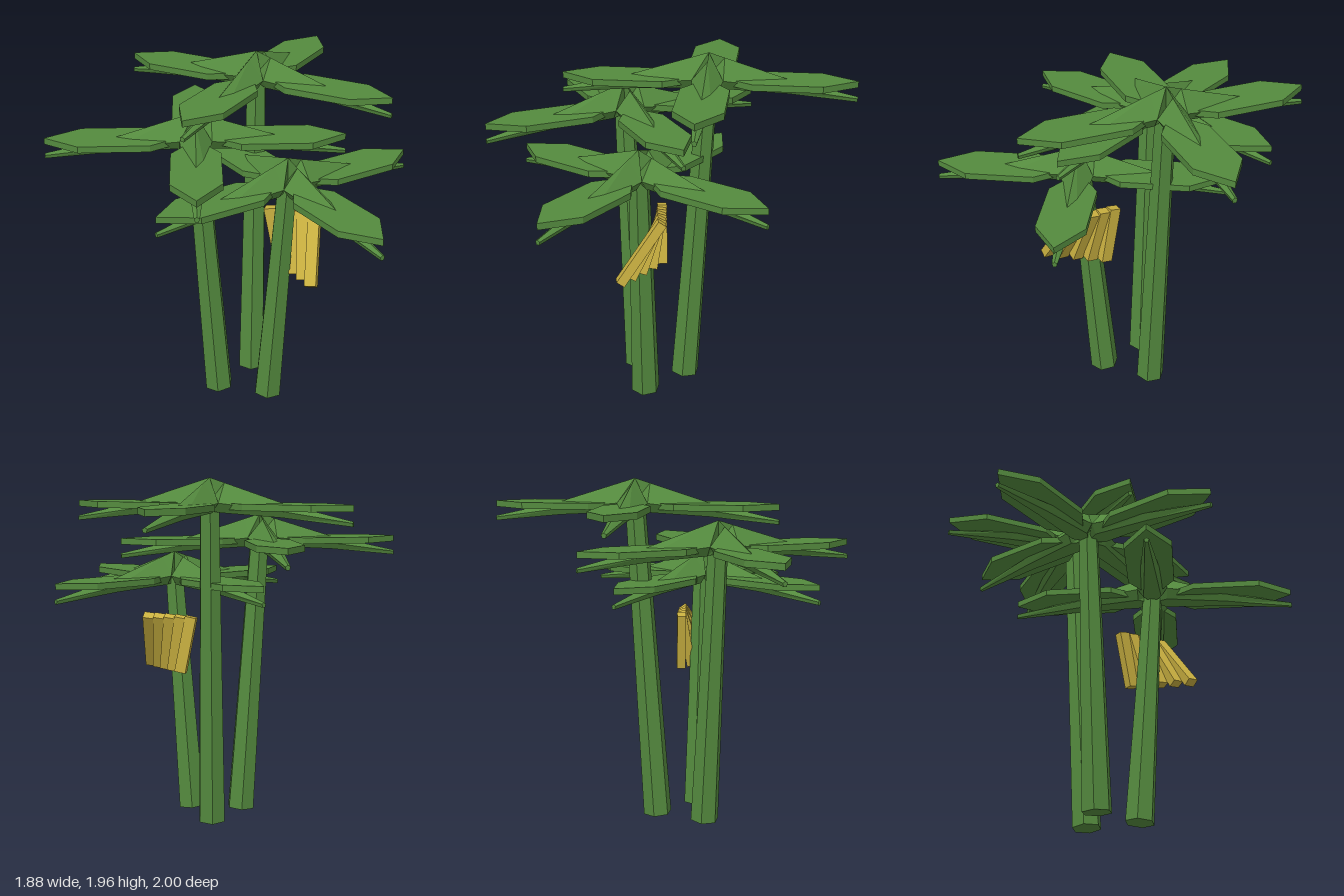
import * as THREE from 'three';

const leafGreen = new THREE.MeshStandardMaterial({ color: 0x548a3e, flatShading: true });
leafGreen.name = 'leaf green';
const fruitYellow = new THREE.MeshStandardMaterial({ color: 0xc9b040, flatShading: true });
fruitYellow.name = 'fruit yellow';

// Drooping midrib along +z, lofted from five-point sections
function midribGeometry() {
  // distance, half width, ridge y, edge y, bottom y
  const sections = [
    [0, 0.001, 0.15, 0.02, -0.03],
    [0.085, 0.085, 0.123, 0.0175, -0.035],
    [0.42, 0.05, 0.018, -0.02, -0.055],
    [0.8, 0.014, -0.068, -0.076, -0.095],
  ];
  const pos = [];
  const index = [];
  for (const [z, w, top, edge, bottom] of sections) {
    pos.push(0, top, z, -w, edge, z, -w * 0.6, bottom, z, w * 0.6, bottom, z, w, edge, z);
  }
  for (let s = 0; s < sections.length - 1; s++) {
    for (let i = 0; i < 5; i++) {
      const a = s * 5 + i;
      const b = s * 5 + ((i + 1) % 5);
      index.push(a, b, a + 5, b, b + 5, a + 5);
    }
  }
  const end = (sections.length - 1) * 5;
  for (let i = 1; i < 4; i++) index.push(end, end + i, end + i + 1);
  const g = new THREE.BufferGeometry();
  g.setAttribute('position', new THREE.Float32BufferAttribute(pos, 3));
  g.setIndex(index);
  const flat = g.toNonIndexed();
  flat.computeVertexNormals();
  return flat;
}

// Leaf blade: stretched hexagonal plate pointing along +z
function bladeGeometry() {
  return new THREE.CylinderGeometry(0.375, 0.375, 0.035, 6).scale(0.4, 1, 1).translate(0, 0, 0.425);
}

// Aligns a y-axis mesh between two points
function stretch(mesh, bottom, top) {
  mesh.position.copy(bottom).add(top).multiplyScalar(0.5);
  mesh.quaternion.setFromUnitVectors(new THREE.Vector3(0, 1, 0), top.clone().sub(bottom).normalize());
  return mesh;
}

export function createModel() {
  const model = new THREE.Group();
  model.name = 'palmCluster';
  const midrib = midribGeometry();
  const blade = bladeGeometry();

  // Trees: base x/z, crown x/y/z, direction of the first leaf
  const trees = [
    { base: [0.035, -0.09], crown: [0.02, 1.815, -0.21], dir: [0.15, -0.79] },
    { base: [-0.085, 0.18], crown: [-0.18, 1.6, 0.24], dir: [0.27, 0.75] },
    { base: [0.21, 0.155], crown: [0.315, 1.38, 0.185], dir: [0.61, 0.51] },
  ];
  for (const { base, crown, dir } of trees) {
    const tree = new THREE.Group();
    tree.name = 'tree';
    const bottom = new THREE.Vector3(base[0], 0.008, base[1]);
    const top = new THREE.Vector3(...crown);
    top.y += 0.03;
    const trunk = new THREE.Mesh(
      new THREE.CylinderGeometry(0.057, 0.083, bottom.distanceTo(top), 6).rotateY(0.25), leafGreen);
    trunk.name = 'trunk';
    tree.add(stretch(trunk, bottom, top));

    // Four leaves, each a flat blade pierced by its midrib
    for (let i = 0; i < 4; i++) {
      const leaf = new THREE.Group();
      leaf.name = 'leaf';
      const bladeMesh = new THREE.Mesh(blade, leafGreen);
      bladeMesh.name = 'blade';
      const midribMesh = new THREE.Mesh(midrib, leafGreen);
      midribMesh.name = 'midrib';
      leaf.add(bladeMesh, midribMesh);
      leaf.position.set(...crown);
      leaf.rotation.y = Math.atan2(dir[0], dir[1]) + (i * Math.PI) / 2;
      tree.add(leaf);
    }
    model.add(tree);
  }

  // Fan of fruit beside the shortest tree
  const bunch = new THREE.Group();
  bunch.name = 'fruitBunch';
  for (let i = 0; i < 5; i++) {
    const top = new THREE.Vector3(0.185 + 0.064 * i, 1.165, 0.055 + 0.004 * i);
    const bottom = new THREE.Vector3(0.25 + 0.059 * i, 0.84, 0.055 + 0.061 * i);
    const fruit = new THREE.Mesh(new THREE.BoxGeometry(0.065, top.distanceTo(bottom), 0.05), fruitYellow);
    fruit.name = 'fruit';
    bunch.add(stretch(fruit, bottom, top));
  }
  model.add(bunch);
  return model;
}
